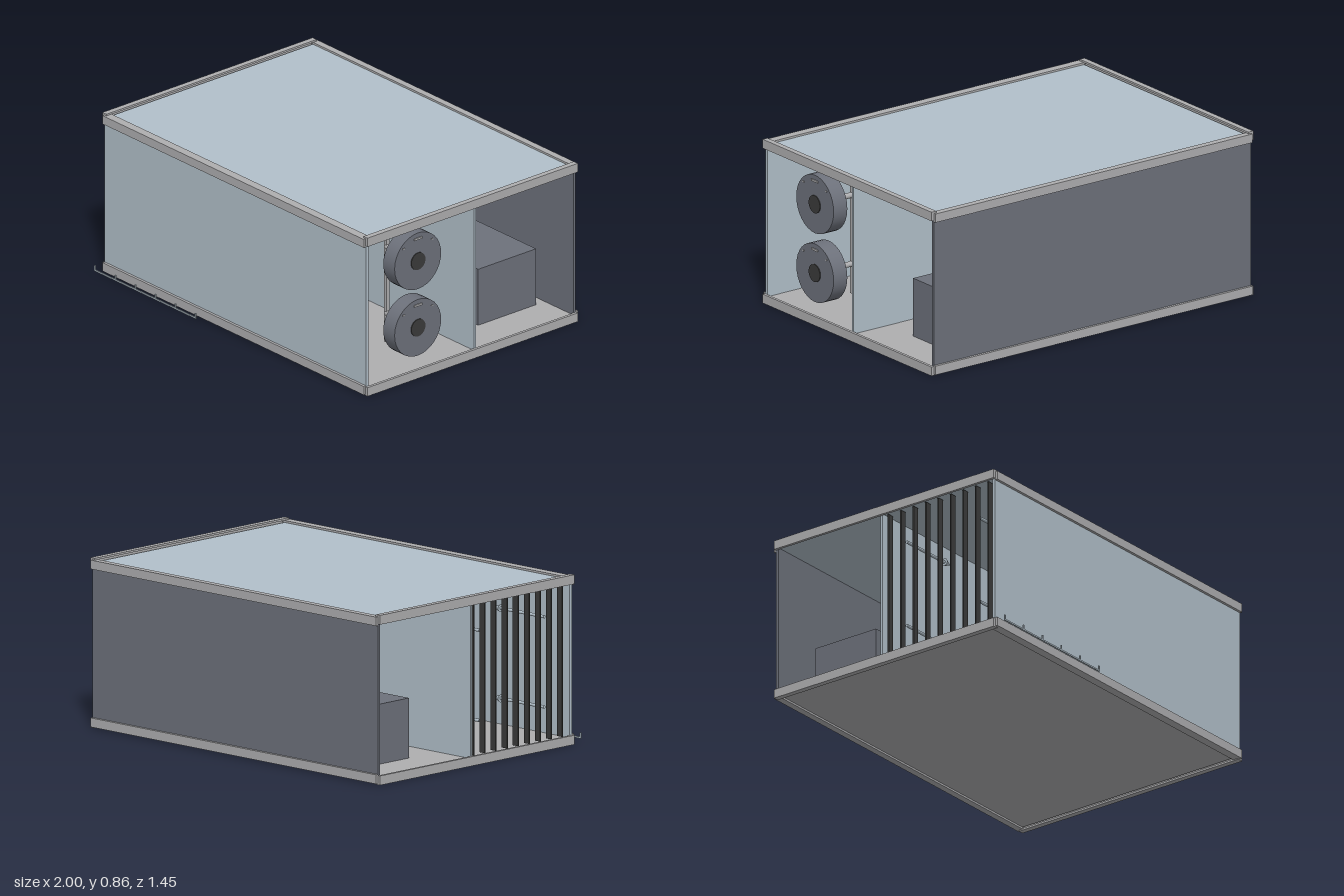
import * as THREE from 'three';

const mat = (name, color) => {
  const m = new THREE.MeshStandardMaterial({ color });
  m.name = name;
  return m;
};

export function createModel() {
  const model = new THREE.Group();
  model.name = 'ventilationUnit';
  const railGrey = mat('railGrey', 0xaeaeb0);
  const paleBlue = mat('paleBlue', 0xb2c0ca);
  const slate = mat('slate', 0x6d717b);
  const charcoal = mat('charcoal', 0x3b3b3a);

  const add = (name, geometry, material, x = 0, y = 0, z = 0, parent = model) => {
    const mesh = new THREE.Mesh(geometry, material);
    mesh.name = name;
    mesh.position.set(x, y, z);
    parent.add(mesh);
    return mesh;
  };
  // Box given by its minimum and maximum on each axis
  const span = (name, material, x0, x1, y0, y1, z0, z1) =>
    add(name, new THREE.BoxGeometry(x1 - x0, y1 - y0, z1 - z0), material,
      (x0 + x1) / 2, (y0 + y1) / 2, (z0 + z1) / 2);
  const cylX = (r, length, r2 = r) =>
    new THREE.CylinderGeometry(r2, r, length, 32).rotateZ(-Math.PI / 2);

  // Floor, roof, outer walls and the dividing wall
  span('floor', railGrey, -0.975, 0.975, 0.018, 0.035, -0.7, 0.645);
  span('roof', paleBlue, -0.975, 0.975, 0.82, 0.836, -0.7, 0.645);
  span('frontWall', paleBlue, -0.985, 0.985, 0.03, 0.825, 0.643, 0.66);
  span('backWall', slate, -0.985, 0.985, 0.03, 0.825, -0.71, -0.695);
  span('dividingWall', paleBlue, -0.985, 0.985, 0.03, 0.825, -0.058, -0.046);

  // Angle rails around the bottom and top
  for (const top of [false, true]) {
    const label = top ? 'top' : 'bottom';
    const y0 = top ? 0.803 : 0.006, y1 = top ? 0.848 : 0.052;
    const lip0 = top ? 0.838 : 0.006, lip1 = top ? 0.848 : 0.016;
    span(label + 'FrontRail', railGrey, -0.985, 0.985, y0, y1, 0.66, 0.674);
    span(label + 'FrontRailLip', railGrey, -0.985, 0.985, lip0, lip1, 0.628, 0.661);
    span(label + 'BackRail', railGrey, -0.985, 0.985, y0, y1, -0.724, -0.71);
    span(label + 'BackRailLip', railGrey, -0.985, 0.985, lip0, lip1, -0.711, -0.688);
    const ys = top ? [0.81, 0.857] : [0, 0.047];
    const ls = top ? [0.847, 0.857] : [0, 0.01];
    for (const s of [-1, 1]) {
      const xs = [s * 0.985, s].sort((a, b) => a - b);
      const lx = [s * 0.97, s * 0.986].sort((a, b) => a - b);
      span(label + 'SideRail', railGrey, ...xs, ...ys, -0.711, 0.662);
      span(label + 'SideRailLip', railGrey, ...lx, ...ls, -0.711, 0.662);
    }
  }

  // Upright louvre blades across the intake end
  for (let i = 0; i < 9; i++)
    add('louvreBlade', new THREE.BoxGeometry(0.035, 0.77, 0.007), charcoal,
      -0.955, 0.428, -0.018 + i * 0.078);

  // Two fans stacked on one post
  span('fanPost', railGrey, 0.71, 0.73, 0.095, 0.765, 0.285, 0.305);
  for (const y of [0.25, 0.61]) {
    const fan = new THREE.Group();
    fan.name = 'fan';
    fan.position.set(0, y, 0.295);
    model.add(fan);
    add('fanDrum', cylX(0.152, 0.085), slate, 0.913, 0, 0, fan);
    add('fanHub', cylX(0.046, 0.008), charcoal, 0.956, 0, 0, fan);
    add('fanBracket', cylX(0.014, 0.16), railGrey, 0.8, 0, 0, fan);
    add('fanHandle', new THREE.BoxGeometry(0.008, 0.01, 0.052), railGrey, 0.957, 0.122, 0, fan);
    for (const s of [-1, 1])
      add('fanClip', new THREE.BoxGeometry(0.006, 0.006, 0.012), railGrey, 0.956, 0.093, s * 0.093, fan);
  }

  // Spray pipes with conical nozzles behind the louvres
  for (const y of [0.2, 0.655]) for (const z of [0.065, 0.522]) {
    add('sprayPipe', cylX(0.008, 0.3), paleBlue, -0.78, y, z);
    add('sprayNozzle', cylX(0.02, 0.05, 0), paleBlue, -0.605, y, z);
  }

  // Long cabinet in the service corridor
  span('serviceCabinet', slate, -0.76, 0.77, 0.03, 0.338, -0.638, -0.26);

  // Motor and pipe stubs on the corridor side of the divider
  span('motorHousing', charcoal, -0.1, 0.1, 0.46, 0.58, -0.372, -0.19);
  const stub = (name, r, x, y, z0, z1) =>
    add(name, new THREE.CylinderGeometry(r, r, z1 - z0, 24).rotateX(Math.PI / 2),
      railGrey, x, y, (z0 + z1) / 2);
  stub('motorNeck', 0.037, 0, 0.518, -0.19, -0.13);
  stub('upperPipeStub', 0.023, 0.63, 0.702, -0.183, -0.108);
  stub('lowerPipeStub', 0.023, 0.4, 0.657, -0.183, -0.108);

  // Low comb-shaped manifold in front of the base
  span('manifoldBar', paleBlue, -0.99, -0.225, 0.02, 0.028, 0.718, 0.724);
  for (let i = 0; i < 6; i++)
    add('manifoldPeg', new THREE.BoxGeometry(0.008, 0.03, 0.006), paleBlue,
      -0.986 + i * 0.1515, 0.035, 0.721);

  return model;
}
